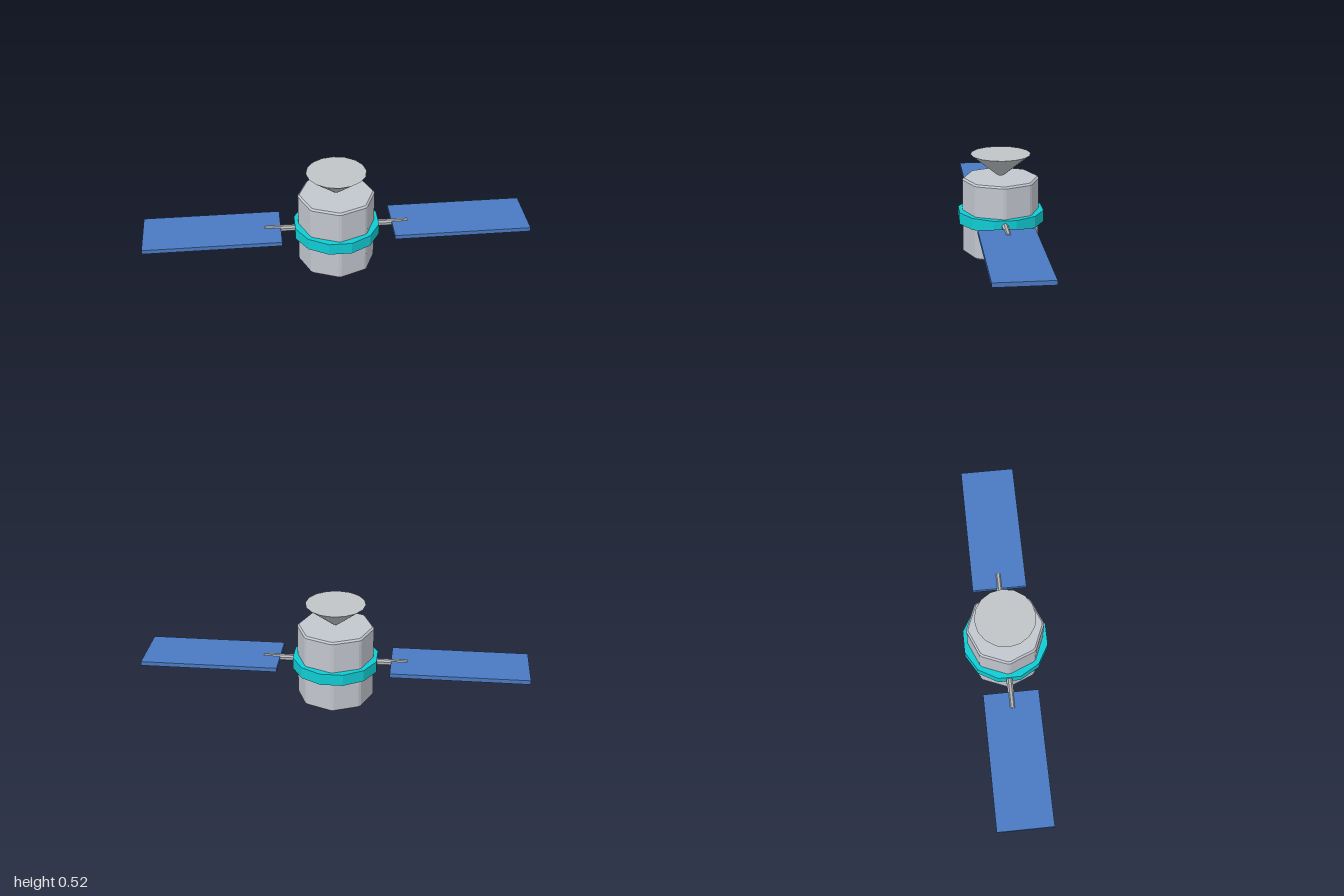
import * as THREE from 'three';

const mat = (name, color) => {
  const m = new THREE.MeshStandardMaterial({ color, flatShading: true });
  m.name = name;
  return m;
};

export function createModel() {
  const silver = mat('silver hull', 0xc2c6ce);
  const dishGrey = mat('dish grey', 0xc0c4c6);
  const boomGrey = mat('boom grey', 0xb4b6b8);
  const teal = mat('teal band', 0x10ccd4);
  const blue = mat('panel blue', 0x4a7ac2);

  const model = new THREE.Group();
  model.name = 'satellite';
  const add = (name, geometry, material, x, y, z) => {
    const mesh = new THREE.Mesh(geometry, material);
    mesh.name = name;
    mesh.position.set(x, y, z);
    model.add(mesh);
    return mesh;
  };

  // Octagonal hull: each corner is cut, top and bottom rims are bevelled
  const R = 0.201, cut = 0.009, bevel = 0.009, height = 0.4;
  const corner = (i) => new THREE.Vector2(Math.cos(i * Math.PI / 4), Math.sin(i * Math.PI / 4)).multiplyScalar(R);
  const outline = [];
  for (let i = 0; i < 8; i++) {
    for (const side of [-1, 1]) {
      const toward = corner(i + side).sub(corner(i)).setLength(cut);
      outline.push(corner(i).add(toward));
    }
  }
  const hull = new THREE.ExtrudeGeometry(new THREE.Shape(outline), {
    depth: height - 2 * bevel, bevelEnabled: true, bevelSegments: 1,
    bevelThickness: bevel, bevelSize: bevel, bevelOffset: -bevel,
  });
  hull.rotateX(-Math.PI / 2);
  add('hull', hull, silver, 0, bevel, 0);

  // Twelve-sided band around the middle
  const band = new THREE.CylinderGeometry(0.225, 0.225, 0.061, 12);
  band.rotateY(Math.PI / 12);
  add('band', band, teal, 0, 0.2, 0);

  // Dish floating above the hull
  add('dish', new THREE.CylinderGeometry(0.155, 0.018, 0.111, 16), dishGrey, 0, 0.4675, 0);

  // Boom through the hull, carrying both panels
  const boom = new THREE.CylinderGeometry(0.0175, 0.0175, 0.75, 8);
  boom.rotateY(Math.PI / 8).rotateZ(Math.PI / 2);
  add('boom', boom, boomGrey, 0, 0.2, 0);

  for (const [name, side] of [['leftPanel', 1], ['rightPanel', -1]]) {
    add(name, new THREE.BoxGeometry(0.71, 0.022, 0.288), blue, side * 0.645, 0.2, 0);
  }
  return model;
}
